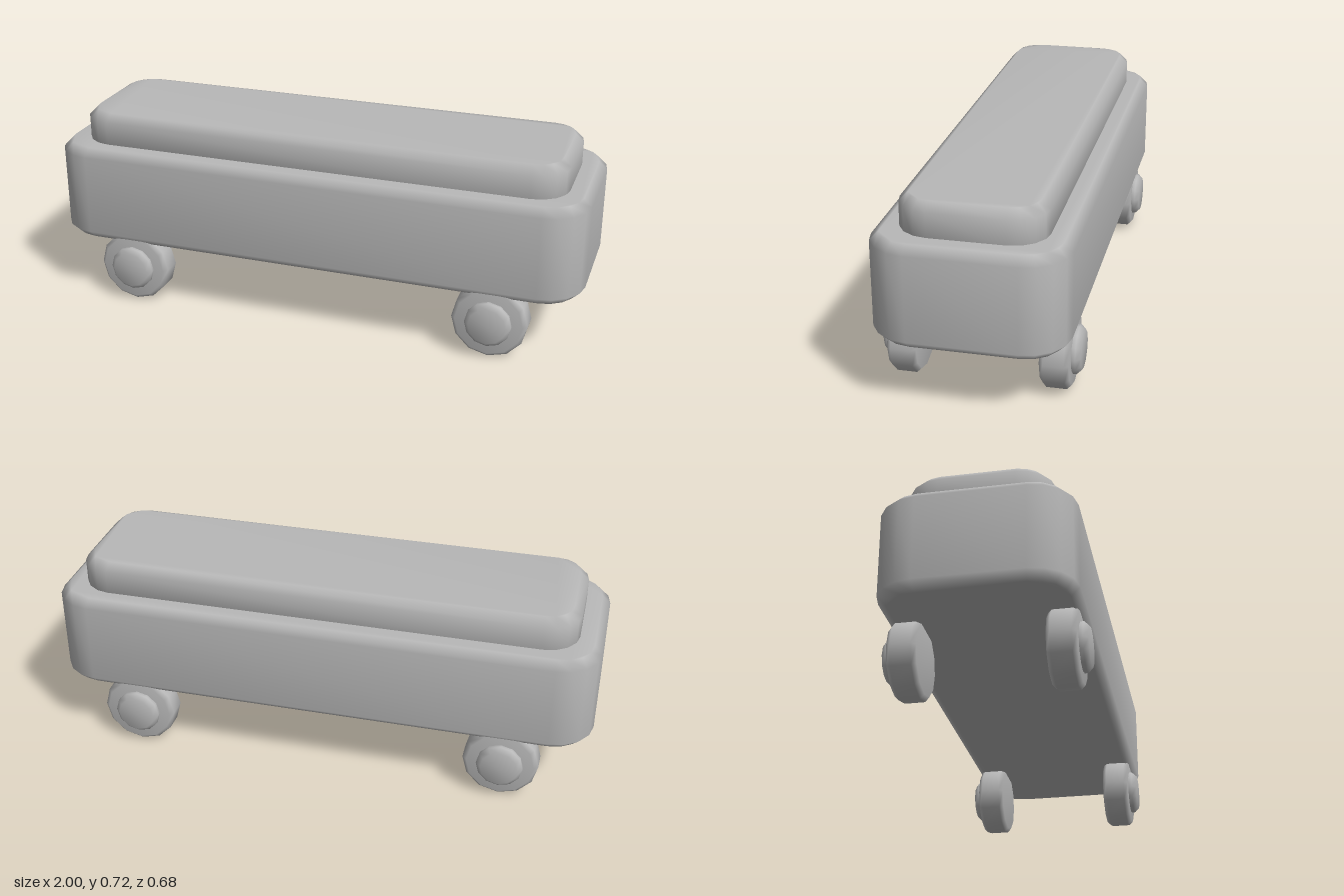
import * as THREE from 'three';
import { mergeVertices } from 'three/addons/utils/BufferGeometryUtils.js';

// Weld vertices and use area-weighted normals: flat faces, soft bevels
function soften(geo) {
  geo.deleteAttribute('uv');
  geo.deleteAttribute('normal');
  const welded = mergeVertices(geo, 1e-4);
  welded.computeVertexNormals();
  return welded;
}

// Rounded-rectangle slab lying flat, with chamfered top and bottom rims
function slab(halfX, halfZ, y0, y1, radius, bevel) {
  const r = radius - bevel, steps = 4, pts = [];
  const cx = halfX - radius, cz = halfZ - radius;
  [[1, 1], [-1, 1], [-1, -1], [1, -1]].forEach(([sx, sz], q) => {
    for (let i = 0; i <= steps; i++) {
      const a = (q + i / steps) * Math.PI / 2;
      pts.push(new THREE.Vector2(sx * cx + r * Math.cos(a), sz * cz + r * Math.sin(a)));
    }
  });
  const geo = new THREE.ExtrudeGeometry(new THREE.Shape(pts), {
    depth: y1 - y0 - 2 * bevel, bevelEnabled: true, bevelSegments: 1,
    bevelSize: bevel, bevelThickness: bevel,
  });
  geo.rotateX(-Math.PI / 2);
  geo.translate(0, y0 + bevel, 0);
  return soften(geo);
}

// Twelve-sided chamfered disc along z
function disc(radius, z0, z1, bevel) {
  const profile = [[0, z0], [radius - bevel, z0], [radius, z0 + bevel],
    [radius, z1 - bevel], [radius - bevel, z1], [0, z1]];
  const geo = new THREE.LatheGeometry(profile.map(p => new THREE.Vector2(...p)), 12);
  geo.rotateX(Math.PI / 2);
  return soften(geo);
}

export function createModel() {
  const model = new THREE.Group();
  model.name = 'wheeledCart';
  const grey = new THREE.MeshStandardMaterial({ color: 0xb8b8b8 });
  grey.name = 'plainGrey';
  const add = (parent, geo, name) => {
    const mesh = new THREE.Mesh(geo, grey);
    mesh.name = name;
    parent.add(mesh);
  };

  // Body and raised top
  add(model, slab(1, 0.33, 0.24, 0.602, 0.15, 0.03), 'body');
  add(model, slab(0.915, 0.247, 0.56, 0.717, 0.12, 0.03), 'raisedTop');

  // Four wheels with outward-facing hubs
  const tyre = disc(0.137, 0.21, 0.31, 0.015);
  const hub = disc(0.084, 0.28, 0.34, 0.017);
  for (const x of [-0.69, 0.69]) {
    for (const side of [1, -1]) {
      const wheel = new THREE.Group();
      wheel.name = (side > 0 ? 'front' : 'back') + (x > 0 ? 'Left' : 'Right') + 'Wheel';
      wheel.position.set(x, 0.138, 0);
      if (side < 0) wheel.rotation.y = Math.PI;
      add(wheel, tyre, 'tyre');
      add(wheel, hub, 'hub');
      model.add(wheel);
    }
  }
  return model;
}
